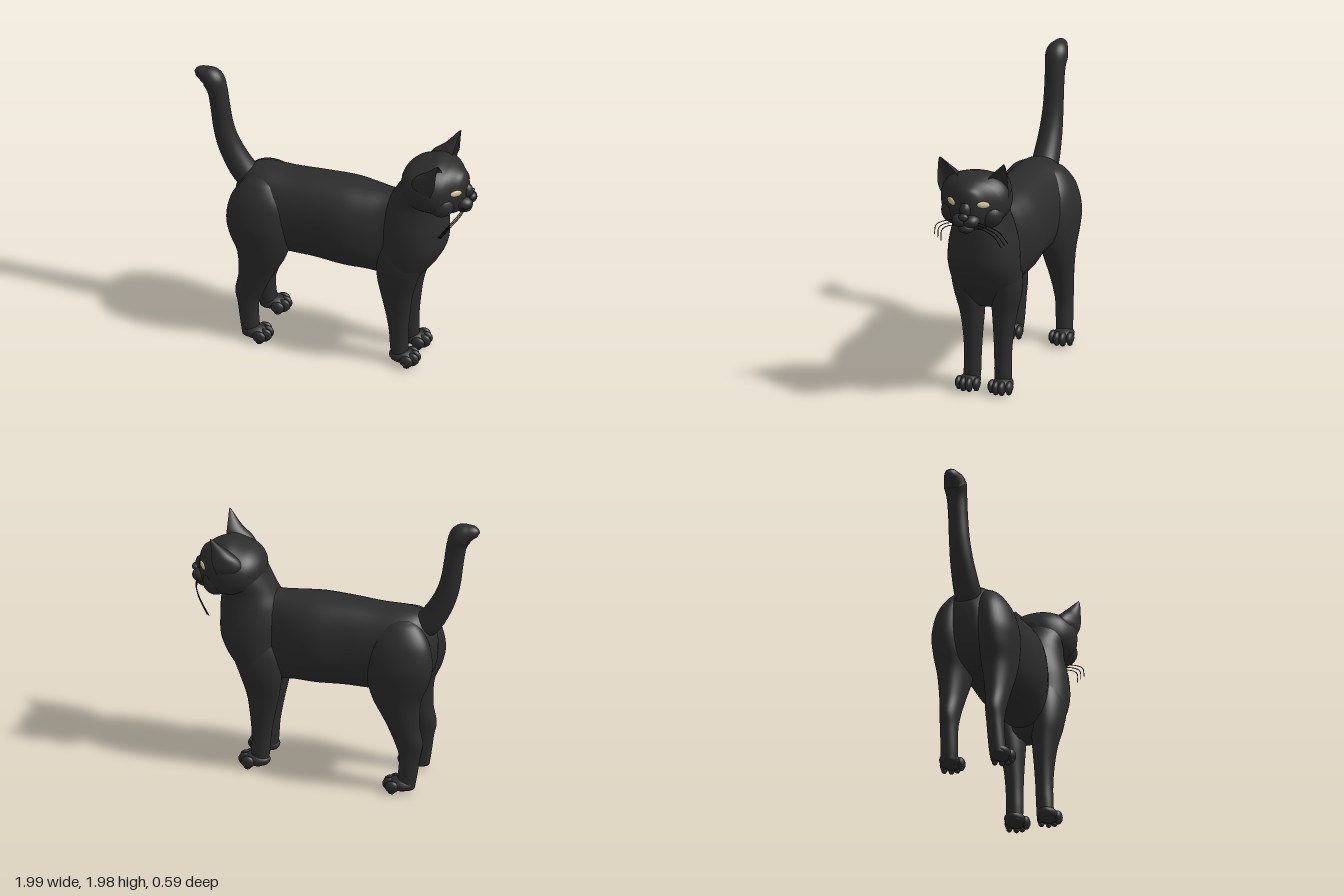
import * as THREE from 'three';

const fur = new THREE.MeshStandardMaterial({ color: 0x2c2c2c });
fur.name = 'charcoal fur';
const eyeMat = new THREE.MeshStandardMaterial({ color: 0xd2c595 });
eyeMat.name = 'pale yellow eye';
const whiskerMat = new THREE.MeshStandardMaterial({ color: 0x0c0c0c });
whiskerMat.name = 'black whisker';

const V = (x, y, z) => new THREE.Vector3(x, y, z);

// Skin over rings { c, a, b }: centre and two half axes, with a x b pointing along the loft.
// power < 1 squares the ring off; dent scales the b > 0 half (negative makes it hollow).
function skin(rings, { power = 1, dent = 1, around = 40 } = {}) {
  const pos = [], index = [];
  const bend = (v) => Math.sign(v) * Math.abs(v) ** power;
  for (const { c, a, b } of rings) {
    for (let j = 0; j < around; j++) {
      const t = (j / around) * Math.PI * 2;
      const s = bend(Math.sin(t));
      const p = c.clone().addScaledVector(a, bend(Math.cos(t))).addScaledVector(b, s > 0 ? s * dent : s);
      pos.push(p.x, p.y, p.z);
    }
  }
  const last = rings.length - 1;
  for (let i = 0; i < last; i++) {
    for (let j = 0; j < around; j++) {
      const k = (j + 1) % around, r = i * around, q = r + around;
      index.push(r + j, r + k, q + k, r + j, q + k, q + j);
    }
  }
  // end caps
  const n = pos.length / 3;
  pos.push(...rings[0].c.toArray(), ...rings[last].c.toArray());
  for (let j = 0; j < around; j++) {
    const k = (j + 1) % around, q = last * around;
    index.push(n, k, j, n + 1, q + j, q + k);
  }
  const g = new THREE.BufferGeometry();
  g.setAttribute('position', new THREE.Float32BufferAttribute(pos, 3));
  g.setIndex(index);
  g.computeVertexNormals();
  return g;
}

// Smooth centres and radii between key sections
function smooth(centres, radii, steps, makeRing) {
  const cc = new THREE.CatmullRomCurve3(centres, false, 'catmullrom', 0.5);
  const rc = new THREE.CatmullRomCurve3(radii, false, 'catmullrom', 0.5);
  const rings = [];
  for (let i = 0; i <= steps; i++) {
    const t = i / steps, r = rc.getPoint(t);
    r.x = Math.max(r.x, 0.002);
    r.y = Math.max(r.y, 0.002);
    rings.push(makeRing(cc.getPoint(t), r, cc.getTangent(t)));
  }
  return rings;
}

// Sections [x, top, bottom, halfWidth]
const loftX = (s, opt) => skin(smooth(
  s.map(([x, t, b]) => V(x, (t + b) / 2, 0)), s.map(([, t, b, w]) => V((t - b) / 2, w, 0)), s.length * 6,
  (c, r) => ({ c, a: V(0, r.x, 0), b: V(0, 0, r.y) })), opt);

// Sections [y, xMin, xMax, z, halfWidth]
const loftY = (s, opt) => skin(smooth(
  s.map(([y, p, q, z]) => V((p + q) / 2, y, z)), s.map(([, p, q, , w]) => V(w, (q - p) / 2, 0)), s.length * 6,
  (c, r) => ({ c, a: V(0, 0, r.x), b: V(r.y, 0, 0) })), opt);

export function createModel() {
  const cat = new THREE.Group();
  cat.name = 'cat';
  const add = (name, geometry, material = fur, parent = cat) => {
    const m = new THREE.Mesh(geometry, material);
    m.name = name;
    parent.add(m);
    return m;
  };
  const blob = (name, [x, y, z], [rx, ry, rz], parent = cat, material = fur) => {
    const m = add(name, new THREE.SphereGeometry(1, 24, 16), material, parent);
    m.position.set(x, y, z);
    m.scale.set(rx, ry, rz);
    return m;
  };

  // Torso
  add('torso', loftX([
    [-0.7, 1.06, 0.98, 0.02], [-0.68, 1.14, 0.86, 0.09], [-0.61, 1.25, 0.74, 0.17],
    [-0.5, 1.285, 0.69, 0.215], [-0.3, 1.285, 0.68, 0.225], [-0.1, 1.297, 0.68, 0.232],
    [0.1, 1.3, 0.67, 0.247], [0.25, 1.293, 0.665, 0.22], [0.38, 1.29, 0.65, 0.175],
    [0.48, 1.3, 0.7, 0.15],
  ], { power: 0.88 }));

  // Chest rising into the neck
  add('chestAndNeck', loftY([
    [0.6, 0.4, 0.54, 0, 0.13], [0.64, 0.36, 0.58, 0, 0.18], [0.72, 0.345, 0.64, 0, 0.215],
    [0.83, 0.34, 0.725, 0, 0.235], [0.95, 0.34, 0.78, 0, 0.242], [1.08, 0.34, 0.787, 0, 0.232],
    [1.2, 0.36, 0.785, 0, 0.205], [1.3, 0.41, 0.775, 0, 0.185], [1.4, 0.465, 0.78, 0, 0.19],
    [1.5, 0.51, 0.76, 0, 0.16],
  ], { power: 0.92 }));

  // Tail, upright with the tip curled back
  const tail = [
    [-0.54, 1.12, 0.09], [-0.645, 1.21, 0.09], [-0.74, 1.37, 0.079], [-0.79, 1.52, 0.07],
    [-0.815, 1.68, 0.066], [-0.835, 1.81, 0.068], [-0.87, 1.895, 0.076], [-0.93, 1.925, 0.055],
    [-0.975, 1.932, 0.034], [-0.995, 1.932, 0.006],
  ];
  add('tail', skin(smooth(
    tail.map(([x, y]) => V(x, y, 0)), tail.map(([, , r]) => V(r, r, 0)), 60,
    (c, r, d) => ({ c, a: V(0, 0, r.x), b: d.clone().cross(V(0, 0, 1)).multiplyScalar(r.x) }))));

  // Head and muzzle
  const head = new THREE.Group();
  head.name = 'head';
  cat.add(head);
  add('skull', loftX([
    [0.48, 1.47, 1.39, 0.04], [0.51, 1.53, 1.33, 0.13], [0.57, 1.58, 1.28, 0.2], [0.65, 1.607, 1.255, 0.232],
    [0.73, 1.627, 1.25, 0.24], [0.8, 1.61, 1.25, 0.215], [0.84, 1.595, 1.25, 0.178],
    [0.88, 1.57, 1.26, 0.127], [0.91, 1.55, 1.28, 0.088], [0.93, 1.51, 1.31, 0.05], [0.937, 1.46, 1.37, 0.015],
  ], { power: 0.9 }), fur, head);
  blob('noseBridge', [0.915, 1.42, 0], [0.055, 0.055, 0.042], head);
  blob('nose', [0.968, 1.382, 0], [0.026, 0.026, 0.034], head);
  blob('chin', [0.905, 1.288, 0], [0.056, 0.036, 0.055], head);

  for (const s of [1, -1]) {
    const side = s > 0 ? 'right' : 'left';
    const sideName = (part) => side + part;
    blob(sideName('WhiskerPad'), [0.918, 1.345, s * 0.04], [0.064, 0.046, 0.056], head);
    blob(sideName('Cheek'), [0.79, 1.36, s * 0.13], [0.09, 0.09, 0.085], head);

    // Almond eye lying on the face
    const eye = blob(sideName('Eye'), [0.888, 1.456, s * 0.112], [0.045, 0.023, 0.012], head, eyeMat);
    eye.rotation.set(0, s > 0 ? 0.9 : Math.PI - 0.9, -0.15);

    // Ear, hollow toward the front
    add(sideName('Ear'), loftY([
      [1.42, 0.66, 0.82, s * 0.17, 0.05], [1.5, 0.6, 0.93, s * 0.172, 0.075], [1.56, 0.62, 0.95, s * 0.172, 0.076],
      [1.62, 0.695, 0.885, s * 0.182, 0.063], [1.67, 0.745, 0.845, s * 0.203, 0.038],
      [1.71, 0.78, 0.822, s * 0.22, 0.014], [1.728, 0.8, 0.806, s * 0.226, 0.002],
    ], { dent: -0.45 }), fur, head);

    // Whiskers
    for (let i = 0; i < 3; i++) {
      const y = 1.345 - i * 0.018, reach = 1 - i * 0.13;
      const path = new THREE.CatmullRomCurve3([
        V(0.935, y, s * 0.075), V(0.925, y - 0.02, s * (0.075 + 0.075 * reach)),
        V(0.885, y - 0.07, s * (0.075 + 0.145 * reach)), V(0.815, y - 0.17, s * (0.075 + 0.185 * reach)),
      ]);
      add(sideName('Whisker'), new THREE.TubeGeometry(path, 16, 0.003, 5), whiskerMat, head);
    }

    // Legs
    add(sideName('FrontLeg'), loftY([
      [0.03, 0.435, 0.55, s * 0.112, 0.055], [0.12, 0.425, 0.55, s * 0.108, 0.058], [0.25, 0.415, 0.55, s * 0.106, 0.058],
      [0.4, 0.39, 0.562, s * 0.108, 0.066], [0.55, 0.36, 0.582, s * 0.115, 0.082],
      [0.7, 0.34, 0.625, s * 0.13, 0.1], [0.85, 0.35, 0.67, s * 0.135, 0.1], [1.0, 0.4, 0.64, s * 0.13, 0.07],
    ]));
    add(sideName('HindLeg'), loftY([
      [0.03, -0.595, -0.47, s * 0.175, 0.055], [0.12, -0.61, -0.48, s * 0.17, 0.057], [0.26, -0.63, -0.485, s * 0.165, 0.058],
      [0.36, -0.648, -0.455, s * 0.163, 0.064], [0.5, -0.625, -0.395, s * 0.162, 0.08],
      [0.68, -0.635, -0.3, s * 0.16, 0.107], [0.82, -0.69, -0.265, s * 0.16, 0.126],
      [0.95, -0.712, -0.265, s * 0.158, 0.133], [1.1, -0.685, -0.29, s * 0.14, 0.115],
      [1.21, -0.61, -0.37, s * 0.11, 0.075], [1.25, -0.54, -0.44, s * 0.1, 0.02],
    ]));

    // Paws with four toes and the pads below
    for (const [label, x, z] of [['FrontPaw', 0.5, 0.115], ['HindPaw', -0.515, 0.18]]) {
      const paw = new THREE.Group();
      paw.name = sideName(label);
      paw.position.set(x, 0, s * z);
      cat.add(paw);
      blob('foot', [0.015, 0.058, 0], [0.095, 0.048, 0.07], paw);
      blob('heelPad', [0.01, 0.022, 0], [0.05, 0.016, 0.04], paw);
      for (let i = 0; i < 4; i++) {
        const off = i - 1.5, mid = Math.abs(off) < 1;
        blob('toe', [mid ? 0.088 : 0.06, 0.052, off * 0.041], [0.047, mid ? 0.046 : 0.042, 0.025], paw);
        blob('toePad', [mid ? 0.088 : 0.06, 0.015, off * 0.041], [0.024, 0.015, 0.017], paw);
      }
    }
  }
  return cat;
}
